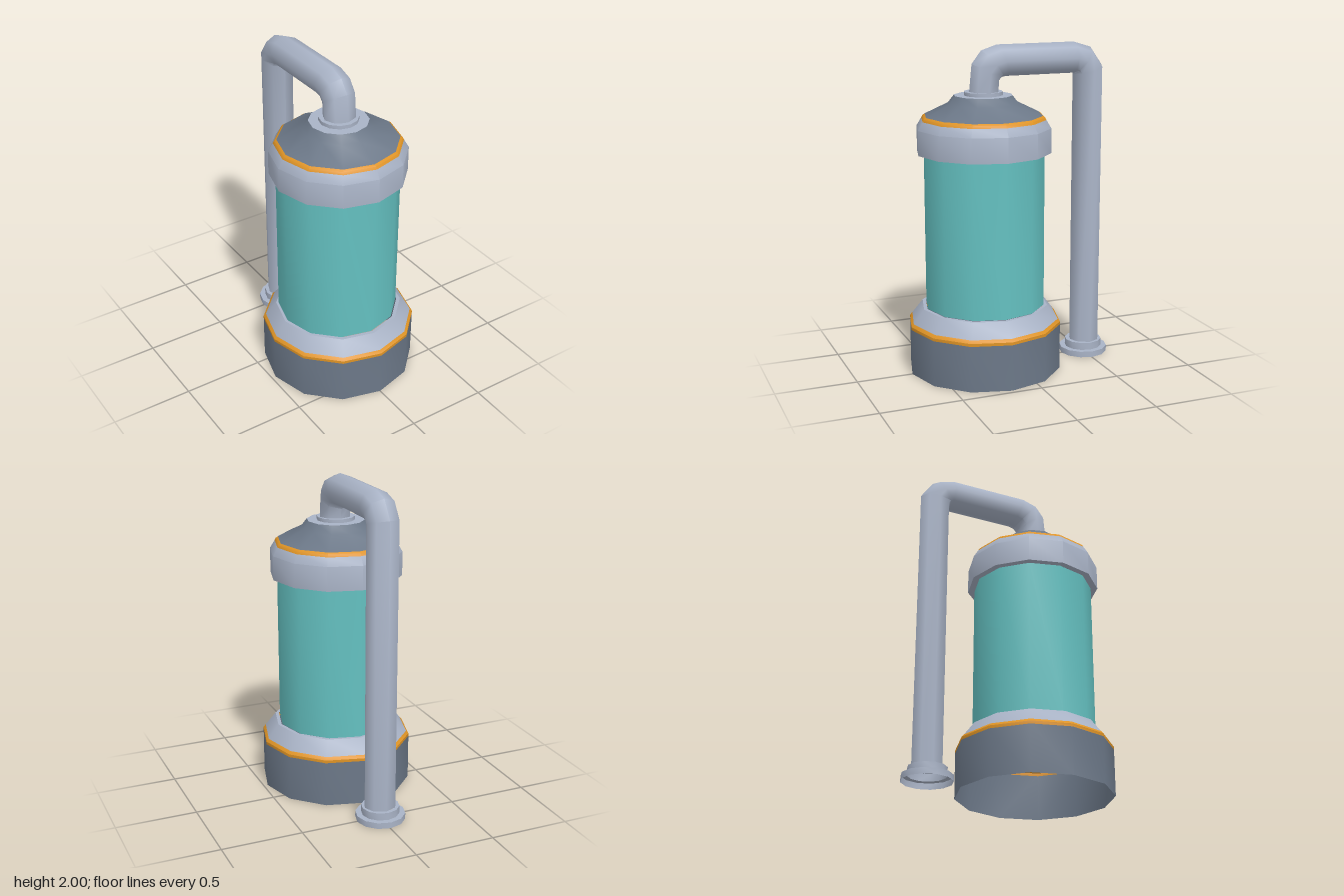
import * as THREE from 'three';
import { toCreasedNormals } from 'three/addons/utils/BufferGeometryUtils.js';

const TANK_Z = 0.178;
const PIPE_Z = -0.505;

function paint(name, color) {
  const m = new THREE.MeshStandardMaterial({ color, side: THREE.DoubleSide });
  m.name = name;
  return m;
}

// Open twelve-sided shell turned from [radius, height] pairs
function shell(name, profile, material, z, x = 0) {
  const points = profile.map(([r, y]) => new THREE.Vector2(r, y));
  const geometry = toCreasedNormals(new THREE.LatheGeometry(points, 12), 0.6);
  const mesh = new THREE.Mesh(geometry, material);
  mesh.name = name;
  mesh.position.set(x, 0, z);
  return mesh;
}

// Pipe skinned over rings, each given by its inner and outer [z, y] point
function bentPipe(rings, halfWidth, sides) {
  const positions = [];
  const index = [];
  rings.forEach(([inner, outer], i) => {
    for (let j = 0; j < sides; j++) {
      const a = (j / sides) * Math.PI * 2;
      const t = (1 + Math.cos(a)) / 2;
      positions.push(
        Math.sin(a) * halfWidth,
        inner[1] + (outer[1] - inner[1]) * t,
        inner[0] + (outer[0] - inner[0]) * t
      );
      if (i === 0) continue;
      const k = (j + 1) % sides;
      const lo = (i - 1) * sides;
      const hi = i * sides;
      index.push(lo + j, lo + k, hi + k, lo + j, hi + k, hi + j);
    }
  });
  const geometry = new THREE.BufferGeometry();
  geometry.setAttribute('position', new THREE.Float32BufferAttribute(positions, 3));
  geometry.setIndex(index);
  return toCreasedNormals(geometry, 0.9);
}

export function createModel() {
  const light = paint('light steel', 0xa9b3c6);
  const dark = paint('dark steel', 0x6c7888);
  const teal = paint('teal glass', 0x64c0c0);
  const orange = paint('orange trim', 0xdf9426);

  const model = new THREE.Group();
  model.name = 'tankWithPipe';

  // Base with trim and sloped shoulder
  model.add(
    shell('base', [[0.474, 0], [0.474, 0.285]], dark, TANK_Z),
    shell('baseTrim', [[0.474, 0.285], [0.474, 0.303], [0.459, 0.32]], orange, TANK_Z),
    shell('baseShoulder', [[0.459, 0.32], [0.392, 0.407], [0.37, 0.407]], light, TANK_Z)
  );

  // Glass cylinder
  model.add(shell('glass', [[0.37, 0.407], [0.37, 1.36]], teal, TANK_Z - 0.004, -0.005));

  // Cap, trim and dome
  const cap = new THREE.Group();
  cap.name = 'cap';
  cap.add(
    shell('capBand', [[0.37, 1.36], [0.411, 1.36], [0.411, 1.51], [0.381, 1.56]], light, 0),
    shell('capTrim', [[0.381, 1.56], [0.373, 1.575], [0.36, 1.584]], orange, 0),
    shell('dome', [[0.36, 1.584], [0.215, 1.655], [0.178, 1.703]], dark, 0),
    shell('domeTop', [[0.178, 1.703], [0.118, 1.703]], light, 0),
    shell('pipeCollar', [[0.118, 1.703], [0.118, 1.725], [0.09, 1.725]], light, 0)
  );
  cap.position.set(-0.005, 0, TANK_Z - 0.003);
  model.add(cap);

  // Pipe arching from the dome to the ground behind
  const pipe = new THREE.Mesh(
    bentPipe([
      [[0.08, 1.72], [0.267, 1.72]],
      [[0.077, 1.785], [0.25, 1.89]],
      [[0.058, 1.805], [0.19, 1.968]],
      [[0.03, 1.81], [0.09, 2]],
      [[-0.405, 1.81], [-0.41, 2]],
      [[-0.411, 1.808], [-0.525, 1.965]],
      [[-0.413, 1.8], [-0.602, 1.855]],
      [[-0.413, 0.085], [-0.602, 0.085]],
    ], 0.1, 8),
    light
  );
  pipe.name = 'pipe';
  model.add(pipe);

  // Stepped flange at the pipe foot
  model.add(shell(
    'pipeFoot',
    [[0.152, 0], [0.152, 0.037], [0.116, 0.037], [0.116, 0.083], [0.09, 0.083]],
    light, PIPE_Z, -0.004
  ));

  return model;
}
